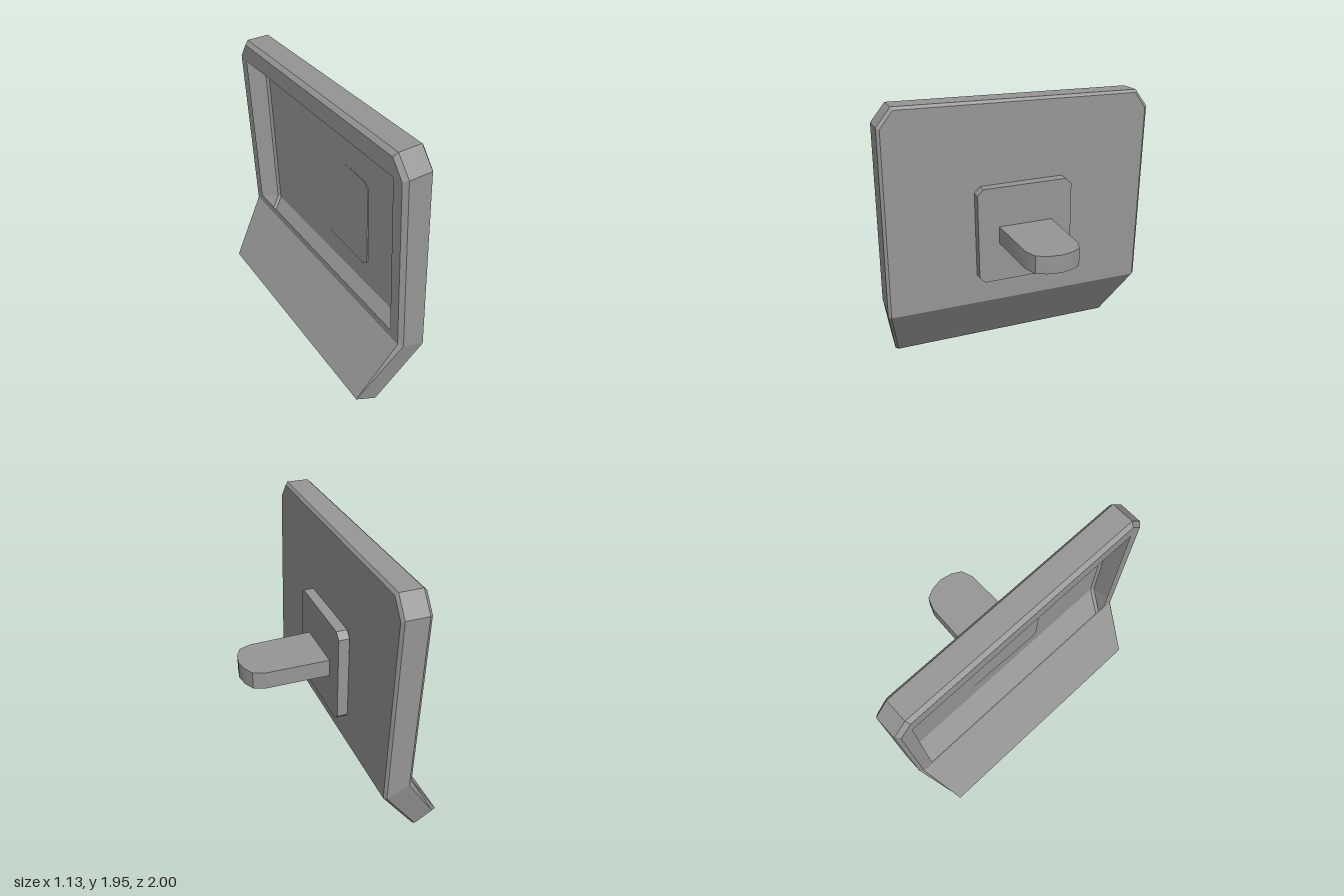
import * as THREE from 'three';
import { toCreasedNormals } from 'three/addons/utils/BufferGeometryUtils.js';

const material = () => new THREE.MeshStandardMaterial({ color: 0x969696, side: THREE.DoubleSide });

// Outline of the bent panel at depth t (0 = mounting face, 1 = open face)
function panelRing(t, inset) {
  const x = lerp(-0.09, -0.29, t), fold = lerp(-0.54, -0.455, t);
  const endX = lerp(-0.395, -0.56, t), endY = lerp(-0.983, -0.885, t) + inset * 0.1;
  const left = [
    [x, 0.925 - inset, 0.885 - inset * 0.5],
    [x, 0.8 - inset * 0.5, 0.985 - inset],
    [x, fold, 0.985 - inset],
    [endX, endY, 0.885 - inset * (1 - t)],
  ];
  const right = left.map(([a, b, c]) => [a, b, -c]).reverse();
  return [right[3], ...left, ...right.slice(0, 3)];
}

function lerp(a, b, t) {
  return a + (b - a) * t;
}

// Thin hollow shell with a rectangular opening in its upper back
function panelGeometry() {
  const pos = [];
  const tri = (a, b, c) => pos.push(...a, ...b, ...c);
  const quad = (a, b, c, d) => { tri(a, b, c); tri(a, c, d); };
  const strip = (A, B) => A.forEach((a, i) => {
    const j = (i + 1) % A.length;
    quad(a, B[i], B[j], A[j]);
  });
  const upper = (r) => [r[0], r[1], r[2], r[3], r[6], r[7]];
  const fan = (r) => { for (let i = 1; i < r.length - 1; i++) tri(r[0], r[i], r[i + 1]); };

  // bevelled rim
  const rings = [panelRing(0, 0.02), panelRing(0.08, 0), panelRing(0.86, 0), panelRing(1, 0.025)];
  for (let i = 0; i < 3; i++) strip(rings[i], rings[i + 1]);

  // mounting face and both sides of the bent lip
  const [front, back] = [rings[0], rings[3]];
  fan(upper(front));
  quad(front[3], front[4], front[5], front[6]);
  quad(back[6], back[5], back[4], back[3]);

  // frame around the opening (top corners doubled to meet the cut corners)
  const x = -0.29, z = 0.88, top = 0.775, low = -0.39;
  strip(upper(back), [[x, top, -z], [x, top, z], [x, top, z], [x, low, z], [x, low, -z], [x, top, -z]]);

  const geo = new THREE.BufferGeometry();
  geo.setAttribute('position', new THREE.Float32BufferAttribute(pos, 3));
  geo.computeVertexNormals();
  return geo;
}

function extrude(points, depth) {
  const shape = new THREE.Shape(points.map(([a, b]) => new THREE.Vector2(a, b)));
  return new THREE.ExtrudeGeometry(shape, { depth, bevelEnabled: false });
}

export function createModel() {
  const model = new THREE.Group();
  const add = (name, geo) => {
    const mesh = new THREE.Mesh(geo, material());
    mesh.name = name;
    model.add(mesh);
    return mesh;
  };

  // bent, slightly tilted panel
  const panel = add('panel', panelGeometry());
  panel.position.set(0, 1, 0);
  panel.rotation.set(-0.021, 0.0155, 0.01);

  // square plate with cut corners
  const h = 0.35, c = 0.307;
  const plate = extrude([[h, -c], [h, c], [c, h], [-c, h], [-h, c], [-h, -c], [-c, -h], [c, -h]], 0.075);
  plate.rotateY(Math.PI / 2);
  add('mountingPlate', plate).position.set(-0.0933, 0.998, -0.006);

  // tapered peg with a rounded tip
  const half = [[-0.02, 0.197], [0.427, 0.187], [0.512, 0.156], [0.549, 0.087]];
  const outline = [...half.map(([x, z]) => [x, -z]), [0.565, 0], ...half.slice().reverse()];
  const peg = extrude(outline, 0.125);
  peg.rotateX(-Math.PI / 2);
  add('peg', toCreasedNormals(peg, 0.5)).position.set(0, 0.935, -0.006);

  return model;
}
